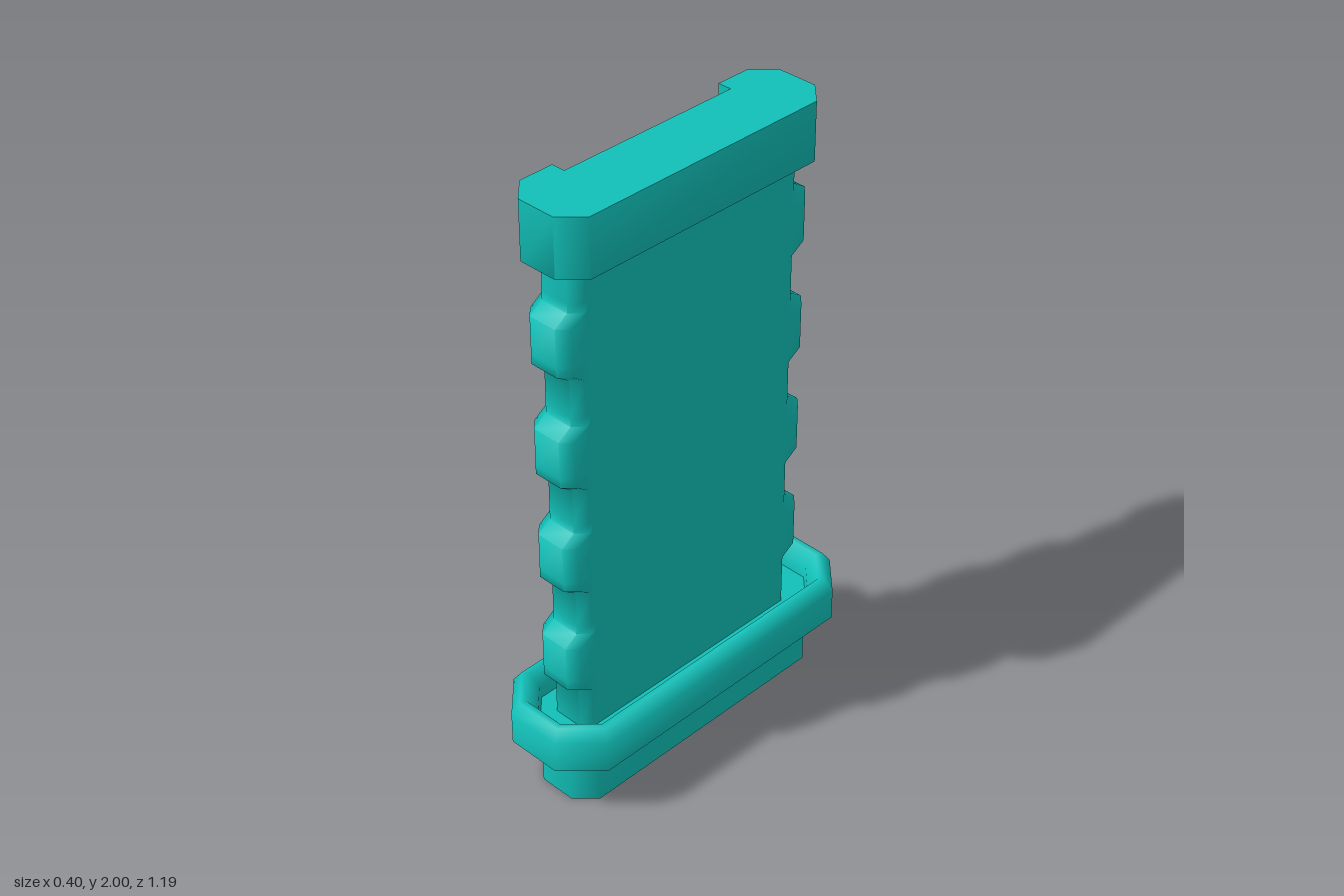
import * as THREE from 'three';
import { toCreasedNormals } from 'three/addons/utils/BufferGeometryUtils.js';

const material = new THREE.MeshStandardMaterial({ color: 0x11c0b8, side: THREE.DoubleSide });

// Chamfered rectangle outline in x/z, counter-clockwise seen from above
function octagon(x0, x1, z0, z1, cx, cz) {
  return [
    [x0 + cx, z1], [x1 - cx, z1], [x1, z1 - cz], [x1, z0 + cz],
    [x1 - cx, z0], [x0 + cx, z0], [x0, z0 + cz], [x0, z1 - cz],
  ];
}

// Joins stacked outlines { y, pts } with walls and caps the ends
function loft(name, rings, closeBottom = true) {
  const pos = [];
  const put = (ring, i) => pos.push(ring.pts[i][0], ring.y, ring.pts[i][1]);
  const n = rings[0].pts.length;
  for (let r = 0; r < rings.length - 1; r++) {
    const a = rings[r], b = rings[r + 1];
    for (let i = 0; i < n; i++) {
      const j = (i + 1) % n;
      put(a, i); put(a, j); put(b, j);
      put(a, i); put(b, j); put(b, i);
    }
  }
  const cap = (ring, up) => {
    const flat = ring.pts.map(([x, z]) => new THREE.Vector2(x, -z));
    for (const [a, b, c] of THREE.ShapeUtils.triangulateShape(flat, [])) {
      put(ring, a); put(ring, up ? b : c); put(ring, up ? c : b);
    }
  };
  if (closeBottom) cap(rings[0], false);
  cap(rings[rings.length - 1], true);
  const geo = new THREE.BufferGeometry();
  geo.setAttribute('position', new THREE.Float32BufferAttribute(pos, 3));
  const mesh = new THREE.Mesh(toCreasedNormals(geo, 1.1), material);
  mesh.name = name;
  return mesh;
}

// Height of a grip ridge (0..1) at y, for ridges repeating every 0.36
function ridge(y, offset) {
  for (let k = 0; k < 4; k++) {
    const d = Math.abs(y - (0.495 + offset + 0.36 * k));
    if (d < 0.105) return Math.min(1, (0.105 - d) / 0.03);
  }
  return 0;
}

function buildGrip() {
  // Rings at every corner of the front and back ridge profiles
  const ys = [0.22, 1.82];
  for (let k = 0; k < 4; k++)
    for (const offset of [0, 0.03])
      for (const d of [-0.105, -0.075, 0.075, 0.105]) ys.push(0.495 + offset + 0.36 * k + d);
  ys.sort((a, b) => a - b);
  return loft('grip', ys.map((y) => {
    const front = 0.455 + 0.045 * ridge(y, 0);
    const back = -0.41 - 0.048 * ridge(y, 0.03);
    const o = octagon(-0.075, 0.08, back, front, 0.03, 0.03);
    // Extra points keep the broad sides flat between the ridged ends
    const pts = [
      ...o.slice(0, 3), [0.08, 0.41], [0.08, -0.365],
      ...o.slice(3, 7), [-0.075, -0.365], [-0.075, 0.41], o[7],
    ];
    return { y, pts };
  }));
}

function buildPommel() {
  // Octagonal block with a long notch cut into its right side
  const outline = (x0, x1, z0, z1, notch) => [
    ...octagon(x0, x1, z0, z1, 0.065, 0.065).slice(0, 7),
    [x0, -0.29], [notch, -0.29], [notch, 0.33], [x0, 0.33],
    [x0, z1 - 0.065],
  ];
  return loft('pommel', [
    { y: 1.785, pts: outline(-0.09, 0.095, -0.42, 0.46, -0.075) },
    { y: 1.815, pts: outline(-0.125, 0.133, -0.467, 0.51, -0.08) },
    { y: 2, pts: outline(-0.125, 0.133, -0.467, 0.51, -0.08) },
  ]);
}

function buildGuard() {
  // Skirt open below: outer wall, bevel, top, inner slope, sunken floor
  const profile = [[0.2, 0.19], [0.2, 0.295], [0.175, 0.33], [0.155, 0.33], [0.125, 0.29], [0.12, 0.25]];
  return loft('guard', profile.map(([w, y]) => {
    const c = 0.11 - (0.2 - w) * 0.55;
    return { y, pts: octagon(-w, w, -w - 0.393, w + 0.393, c, c) };
  }), false);
}

function buildBase() {
  const pts = octagon(-0.12, 0.12, -0.505, 0.505, 0.06, 0.06);
  return loft('base', [{ y: 0, pts }, { y: 0.25, pts }]);
}

export function createModel() {
  const group = new THREE.Group();
  group.name = 'handle';
  group.add(buildBase(), buildGuard(), buildGrip(), buildPommel());
  return group;
}
